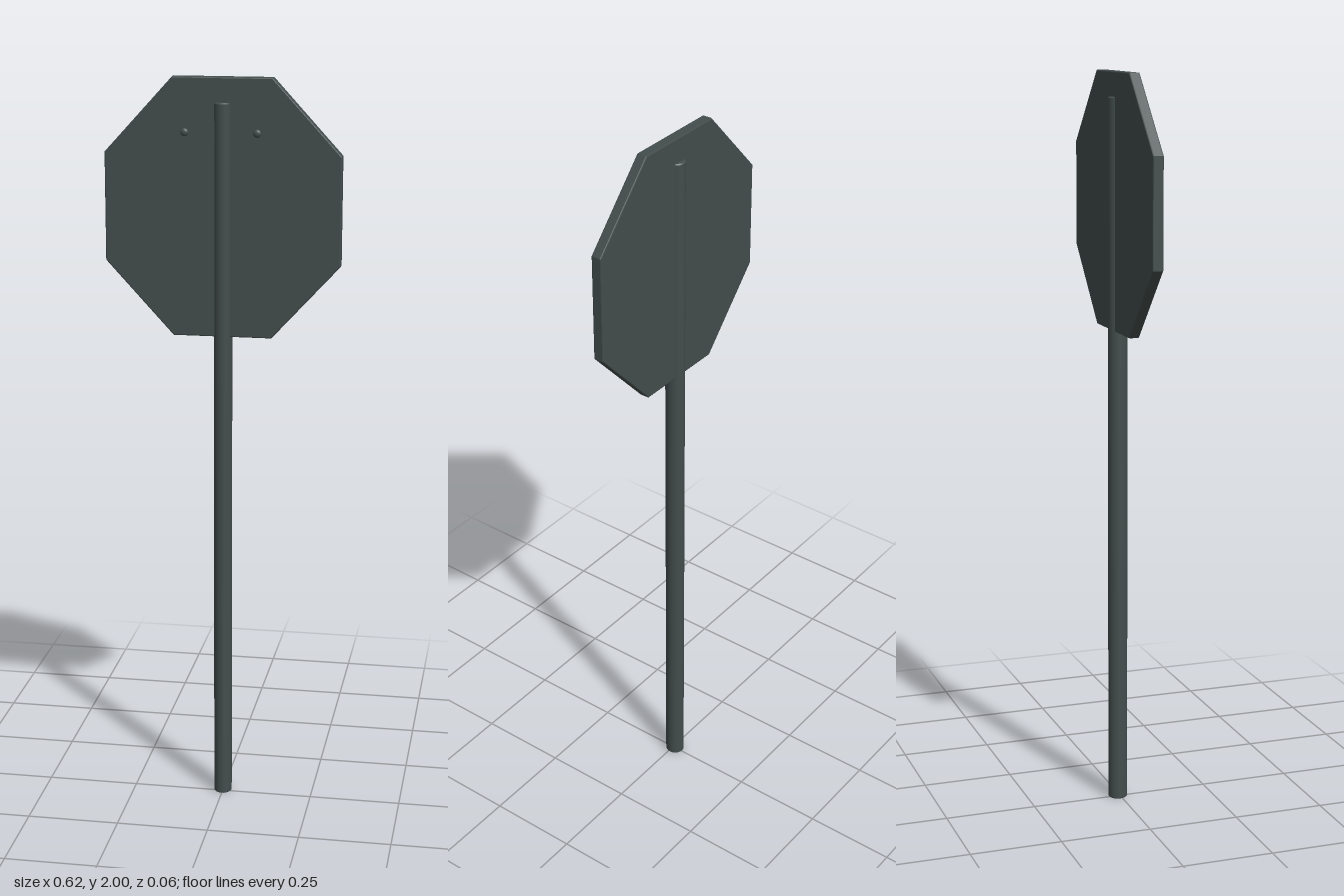
import * as THREE from 'three';

export function createModel() {
  const model = new THREE.Group();
  model.name = 'roadSign';
  const metal = new THREE.MeshStandardMaterial({ color: 0x434d4c });
  metal.name = 'dark grey metal';

  function add(name, geometry, x, y, z) {
    const mesh = new THREE.Mesh(geometry, metal);
    mesh.name = name;
    mesh.position.set(x, y, z);
    model.add(mesh);
    return mesh;
  }

  // Slightly oval post with softened rims
  const r = 0.0265, h = 1.935, b = 0.003;
  const postProfile = [[0, 0], [r - b, 0], [r - b, 0], [r, b], [r, b], [r, h - b], [r, h - b], [r - b, h], [r - b, h], [0, h]]
    .map(([x, y]) => new THREE.Vector2(x, y));
  const post = add('post', new THREE.LatheGeometry(postProfile, 32), 0, 0, -0.0065);
  post.scale.x = 0.93;

  // Octagonal plate with a fine bevel, pierced by the post
  const bevel = 0.003;
  const w = 0.312 - bevel, t = 0.34 - bevel, cx = 0.131 - bevel * 0.4, cy = 0.143 - bevel * 0.4;
  const octagon = new THREE.Shape(
    [[cx, -t], [w, -cy], [w, cy], [cx, t], [-cx, t], [-w, cy], [-w, -cy], [-cx, -t]]
      .map(([x, y]) => new THREE.Vector2(x, y)));
  const plate = new THREE.ExtrudeGeometry(octagon, {
    depth: 0.023, bevelEnabled: true, bevelSize: bevel, bevelThickness: bevel, bevelSegments: 2,
  });
  add('signPlate', plate, 0, 1.66, -0.018);

  // Two flattened bolt heads in front of the plate
  for (const [name, x] of [['rightBolt', -0.096], ['leftBolt', 0.094]]) {
    const bolt = add(name, new THREE.SphereGeometry(0.0105, 20, 14), x, 1.86, 0.025);
    bolt.scale.z = 0.57;
  }

  return model;
}
